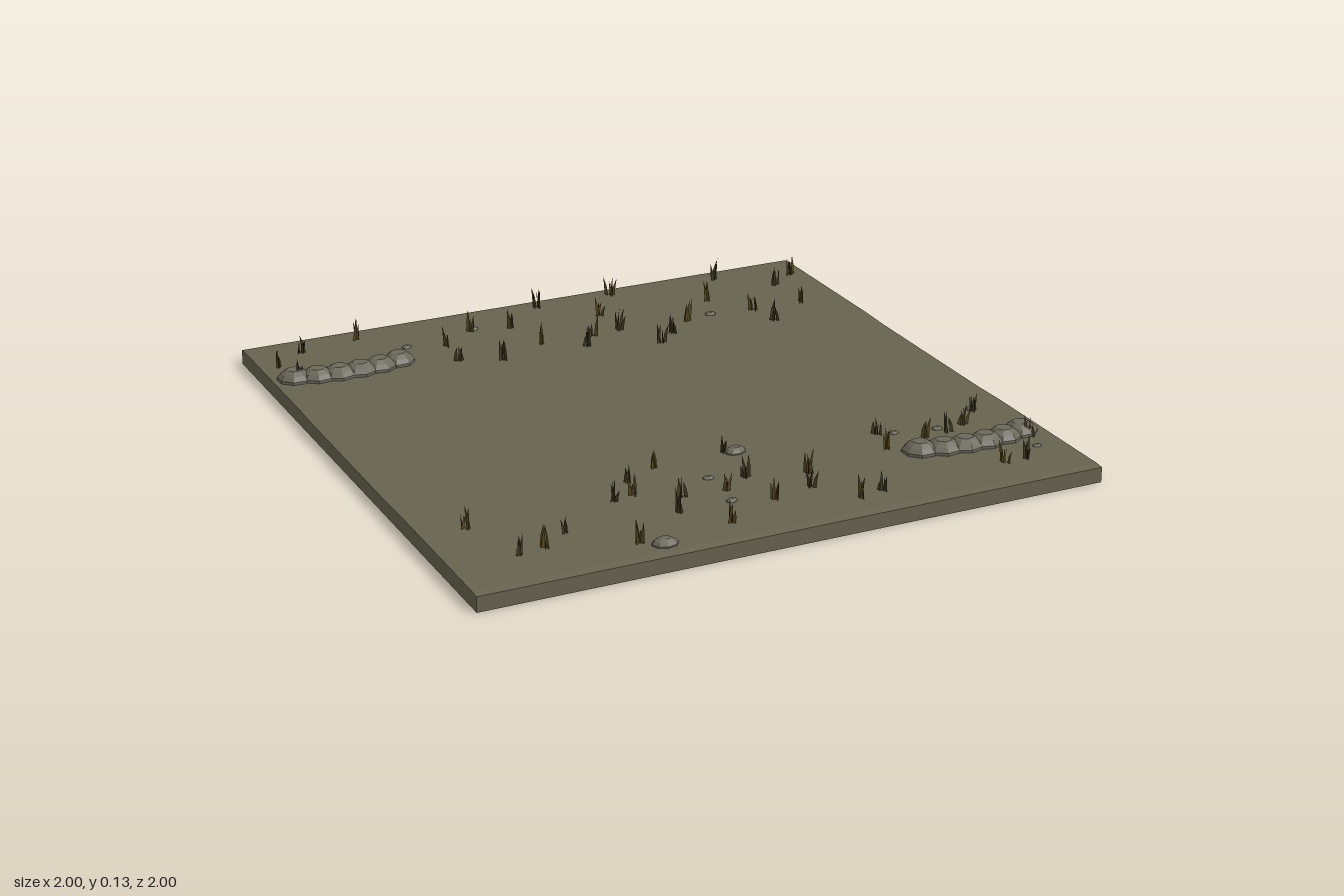
import * as THREE from 'three';

const mat = (name, color, extra = {}) => {
  const m = new THREE.MeshStandardMaterial({ color, ...extra });
  m.name = name;
  return m;
};

// Small seeded generator for blade variation
let seed = 7;
const rand = (a, b) => {
  seed = (seed * 16807) % 2147483647;
  return a + (b - a) * (seed / 2147483647);
};

const GROUND = 0.051;

// x, z of each grass tuft
const BACK_TUFTS = [
  -0.95, -0.8, -0.84, -0.89, -0.63, -0.92, -0.92, -0.67, -0.39, -0.74, -0.4, -0.6,
  -0.27, -0.83, -0.13, -0.8, -0.1, -0.62, 0.03, -0.54, 0.08, -0.62, 0.02, -0.94,
  0.18, -0.78, 0.18, -0.63, 0.29, -0.94, 0.26, -0.47, 0.42, -0.6, 0.33, -0.53,
  0.57, -0.75, 0.68, -0.92, 0.67, -0.6, 0.69, -0.49, 0.85, -0.6, 0.85, -0.78,
  0.94, -0.86, -0.27, -0.55,
];
const FRONT_TUFTS = [
  -0.87, 0.59, -0.79, 0.82, -0.71, 0.8, -0.62, 0.74, -0.46, 0.89, -0.41, 0.6,
  -0.34, 0.59, -0.31, 0.5, -0.2, 0.44, -0.27, 0.76, -0.17, 0.88, -0.22, 0.66,
  -0.08, 0.68, 0.01, 0.62, 0.02, 0.79, 0.15, 0.76, 0.19, 0.67, 0.03, 0.42,
  0.25, 0.89, 0.33, 0.87, 0.49, 0.61, 0.52, 0.5, 0.64, 0.59, 0.72, 0.58,
  0.79, 0.55, 0.87, 0.47, 0.76, 0.85, 0.83, 0.85, 0.93, 0.71,
];

// Pebbles: x, z, radius
const PEBBLES = [
  [0.52, -0.63, 0.02], [-0.51, -0.785, 0.018], [-0.255, -0.845, 0.021],
  [0.07, 0.435, 0.035], [-0.09, 0.575, 0.018], [-0.1, 0.745, 0.019],
  [-0.4, 0.925, 0.04], [0.57, 0.515, 0.016], [0.705, 0.543, 0.018],
  [0.88, 0.455, 0.018], [0.91, 0.785, 0.015],
];

// Slab with a shallow track running along x
function groundGeometry() {
  const s = new THREE.Shape();
  const half = [[0.3, 0.048], [0.42, 0.051], [0.97, 0.051], [1, 0.048], [1, 0]];
  s.moveTo(-1, 0);
  [...half].reverse().slice(1).forEach(([z, y]) => s.lineTo(-z, y));
  half.forEach(([z, y]) => s.lineTo(z, y));
  s.closePath();
  const g = new THREE.ExtrudeGeometry(s, { depth: 2, bevelEnabled: false });
  g.translate(0, 0, -1);
  g.rotateY(-Math.PI / 2);
  return g;
}

// Flattened, faceted mound of unit radius and unit height
function moundGeometry() {
  const pts = [[1, 0], [1, 0.3], [0.78, 0.68], [0.45, 1], [0, 1]];
  return new THREE.LatheGeometry(pts.map(([r, y]) => new THREE.Vector2(r, y)), 8);
}

// Adds one tuft of upright, pointed blades that lean within their own planes
function addTuft(out, x, z) {
  const count = 5;
  const turn = rand(0, Math.PI);
  for (let i = 0; i < count; i++) {
    const a = turn + (i * Math.PI) / count;
    const c = Math.cos(a), s = Math.sin(a);
    const mid = rand(-0.014, 0.014);
    const h = rand(0.035, 0.08), w = 0.006;
    const tip = mid + rand(-0.014, 0.014);
    const at = (d, y) => [x + c * d, GROUND + y, z + s * d];
    const bend = mid + (tip - mid) * 0.35;
    const a0 = at(mid - w, -0.003), a1 = at(mid + w, -0.003);
    const b0 = at(bend - w * 0.8, h * 0.5), b1 = at(bend + w * 0.8, h * 0.5);
    out.push(...a0, ...a1, ...b1, ...a0, ...b1, ...b0, ...b0, ...b1, ...at(tip, h));
  }
}

function grassMesh(name, tufts, material) {
  const out = [];
  tufts.forEach(([x, z]) => addTuft(out, x, z));
  const g = new THREE.BufferGeometry();
  g.setAttribute('position', new THREE.Float32BufferAttribute(out, 3));
  g.computeVertexNormals();
  const m = new THREE.Mesh(g, material);
  m.name = name;
  return m;
}

export function createModel() {
  const model = new THREE.Group();
  model.name = 'groundTile';
  const earth = mat('earth', 0x676350);
  const stone = mat('stone', 0x6a675a, { flatShading: true });
  const dryGrass = mat('dryGrass', 0x54461f, { side: THREE.DoubleSide });
  const darkGrass = mat('darkGrass', 0x3f3a20, { side: THREE.DoubleSide });

  const ground = new THREE.Mesh(groundGeometry(), earth);
  ground.name = 'ground';
  model.add(ground);

  // Two curved rows of sandbag-like mounds
  const mound = moundGeometry();
  const addMound = (parent, name, x, z, rx, rz, h, turn) => {
    const m = new THREE.Mesh(mound, stone);
    m.name = name;
    m.position.set(x, GROUND - 0.002, z);
    m.scale.set(rx, h, rz);
    m.rotation.y = turn;
    parent.add(m);
  };
  for (const [name, cx, cz] of [['backBagRow', -0.755, -0.65], ['frontBagRow', 0.745, 0.7]]) {
    const row = new THREE.Group();
    row.name = name;
    for (let i = 0; i < 6; i++) {
      const t = i - 2.5;
      addMound(row, 'bag', cx + t * 0.07, cz - 0.0045 * t * t, 0.057, 0.052, 0.037, t * 0.16);
    }
    model.add(row);
  }

  // Scattered pebbles
  const pebbles = new THREE.Group();
  pebbles.name = 'pebbles';
  PEBBLES.forEach(([x, z, r], i) => addMound(pebbles, 'pebble', x, z, r, r * 0.75, r * 0.55, i % 2 ? 0.2 : -0.1));
  model.add(pebbles);

  // Grass tufts on both verges, alternating between two colours
  for (const [side, list] of [['back', BACK_TUFTS], ['front', FRONT_TUFTS]]) {
    const tufts = [];
    for (let i = 0; i < list.length; i += 2) tufts.push([list[i], list[i + 1]]);
    model.add(grassMesh(side + 'DryGrass', tufts.filter((_, i) => i % 2 === 0), dryGrass));
    model.add(grassMesh(side + 'DarkGrass', tufts.filter((_, i) => i % 2 === 1), darkGrass));
  }
  return model;
}
